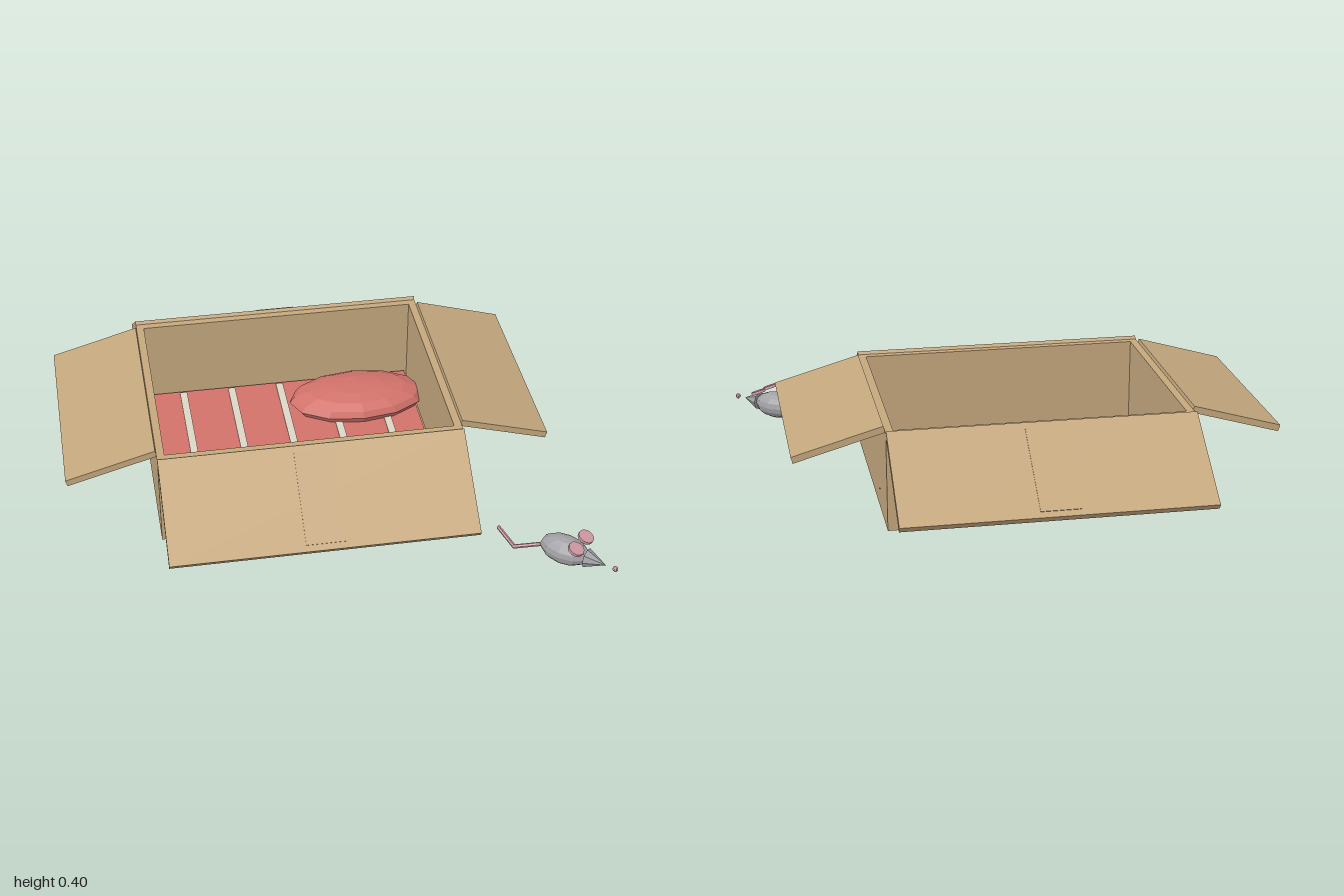
import * as THREE from 'three';

const mat = (name, color, opts = {}) => {
  const m = new THREE.MeshStandardMaterial({ color, ...opts });
  m.name = name;
  return m;
};

export function createModel() {
  const cardboard = mat('cardboard', 0xc4a77d);
  const blanketRed = mat('blanketRed', 0xd2726b, { flatShading: true });
  const stripeCream = mat('stripeCream', 0xdcd6c6);
  const ink = mat('ink', 0x505058);
  const fur = mat('fur', 0xa2a2a6, { flatShading: true });
  const pink = mat('pink', 0xcf98a2, { flatShading: true });

  const root = new THREE.Group();
  root.name = 'boxWithToyMouse';
  const add = (parent, name, geo, material, x = 0, y = 0, z = 0) => {
    const m = new THREE.Mesh(geo, material);
    m.name = name;
    m.position.set(x, y, z);
    parent.add(m);
    return m;
  };
  const box = (w, h, d) => new THREE.BoxGeometry(w, h, d);

  // Cardboard box, in its own centred frame
  const W = 1.165, D = 0.91, H = 0.385, T = 0.03;
  const carton = new THREE.Group();
  carton.name = 'carton';
  carton.position.set(-0.0725, 0, -0.09);
  root.add(carton);
  add(carton, 'floor', box(W, T, D), cardboard, 0, T / 2, 0);
  for (const s of [1, -1]) {
    add(carton, s > 0 ? 'frontWall' : 'backWall', box(W, H - T, T), cardboard, 0, (H + T) / 2, s * (D - T) / 2);
    add(carton, s > 0 ? 'leftWall' : 'rightWall', box(T, H - T, D - 2 * T), cardboard, s * (W - T) / 2, (H + T) / 2, 0);
  }

  // Flaps hang outward from a hinge; local +z runs away from the wall
  function flap(name, turn, hingeX, hingeZ, width, length, angle, taped) {
    const hinge = new THREE.Group();
    hinge.name = name;
    hinge.position.set(hingeX, 0.386, hingeZ);
    hinge.rotation.set(angle, turn, 0, 'YXZ');
    add(hinge, 'flapPanel', box(width, 0.026, length), cardboard, 0, 0, length / 2);
    if (taped) add(hinge, 'flapTape', box(0.15, 0.004, length - 0.05), cardboard, 0, 0.0135, length / 2);
    carton.add(hinge);
  }
  flap('frontFlap', 0, 0, D / 2 + 0.002, W, 0.41, 0.615, true);
  flap('backFlap', Math.PI, 0, -D / 2 - 0.002, W, 0.41, 0.615, true);
  flap('leftFlap', Math.PI / 2, W / 2, 0, 0.83, 0.354, 0.28, false);
  flap('rightFlap', -Math.PI / 2, -W / 2, 0, 0.83, 0.354, 0.28, false);

  // Printed marks on the front wall: two up arrows and a round spot
  const arrow = new THREE.Shape([
    [-0.0175, 0], [0.0175, 0], [0.0175, 0.13], [0.05, 0.13], [0, 0.21], [-0.05, 0.13], [-0.0175, 0.13],
  ].map(([x, y]) => new THREE.Vector2(x, y)));
  const arrowGeo = new THREE.ExtrudeGeometry(arrow, { depth: 0.007, bevelEnabled: false });
  for (const x of [-0.455, -0.325]) add(root, 'printedArrow', arrowGeo, ink, x, 0.08, 0.365);
  add(root, 'printedSpot', new THREE.CylinderGeometry(0.086, 0.086, 0.007, 16).rotateX(Math.PI / 2), ink, 0.255, 0.201, 0.3685);

  // Blanket with stripes, and a cushion in the back corner
  add(root, 'blanket', box(1.08, 0.03, 0.83), blanketRed, -0.0725, 0.04, -0.09);
  for (let i = 0; i < 5; i++) {
    add(root, 'blanketStripe', box(0.03, 0.006, 0.8), stripeCream, -0.478 + i * 0.203, 0.056, -0.095);
  }
  add(root, 'cushion', new THREE.SphereGeometry(1, 12, 8).scale(0.284, 0.065, 0.16), blanketRed, 0.23, 0.08, -0.323);

  // Toy mouse, facing its own +z
  const mouse = new THREE.Group();
  mouse.name = 'mouse';
  mouse.position.set(0.83, 0.058, 0.735);
  mouse.rotation.y = 0.836;
  root.add(mouse);
  add(mouse, 'mouseBody', new THREE.SphereGeometry(1, 10, 8).scale(0.06, 0.054, 0.1), fur);
  add(mouse, 'mouseSnout', new THREE.ConeGeometry(0.038, 0.08, 8).rotateX(Math.PI / 2), fur, 0, 0, 0.13);
  add(mouse, 'mouseNose', new THREE.SphereGeometry(0.011, 8, 6), pink, 0, 0, 0.209);
  for (const s of [1, -1]) {
    const ear = add(mouse, 'mouseEar', new THREE.CylinderGeometry(0.031, 0.031, 0.012, 12), pink, s * 0.041, 0.058, 0.062);
    ear.rotation.x = 0.38;
  }

  // Bent tail lying on the ground
  const tailPoints = [[0.775, 0.047, 0.68], [0.66, 0.018, 0.645], [0.632, 0.011, 0.52]]
    .map((p) => new THREE.Vector3(...p));
  const up = new THREE.Vector3(0, 1, 0);
  for (let i = 0; i < 2; i++) {
    const a = tailPoints[i], dir = tailPoints[i + 1].clone().sub(a);
    const seg = add(root, 'mouseTail', new THREE.CylinderGeometry(0.008, 0.008, dir.length() + 0.006, 6), pink);
    seg.position.copy(a).addScaledVector(dir, 0.5);
    seg.quaternion.setFromUnitVectors(up, dir.normalize());
  }
  return root;
}
